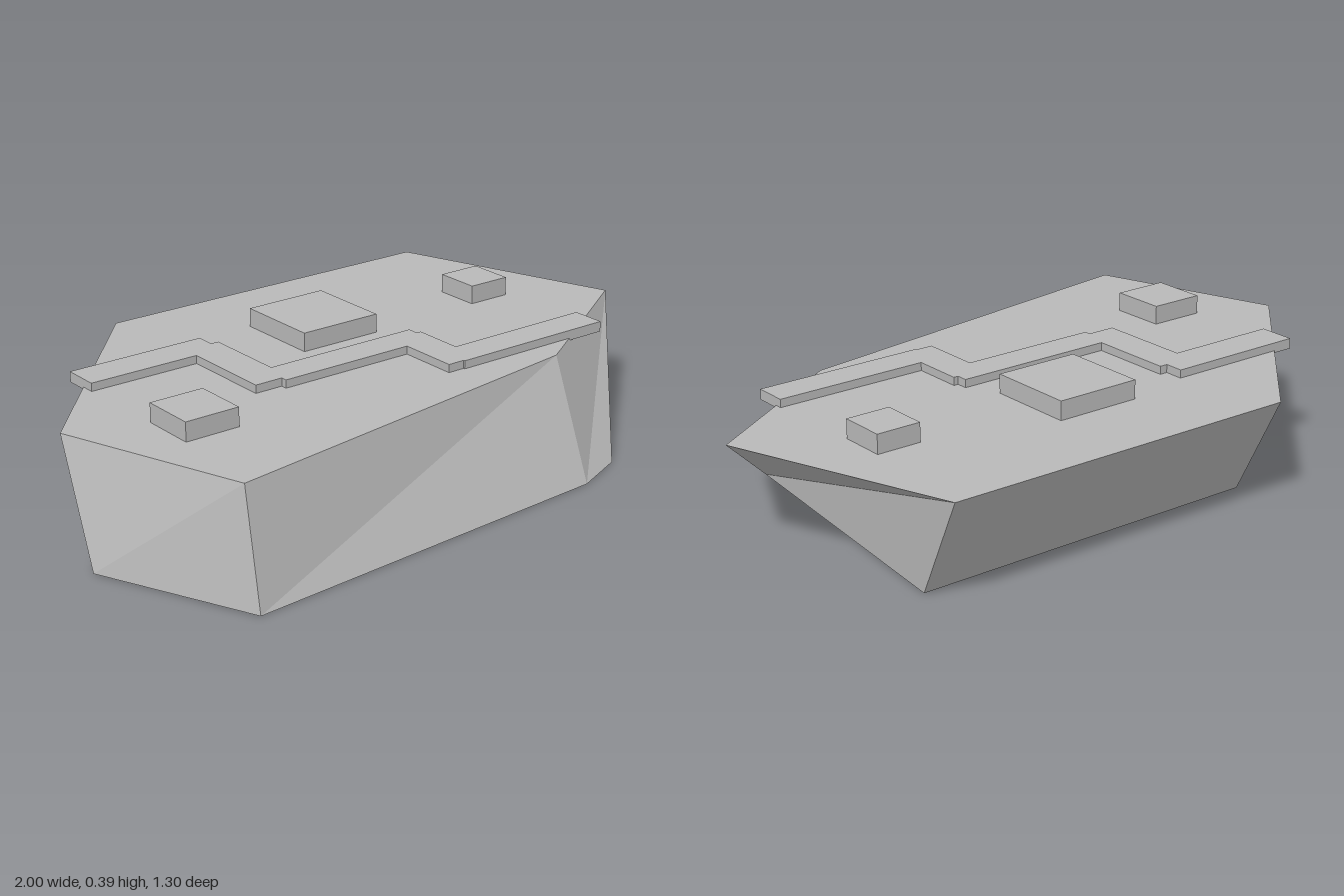
import * as THREE from 'three';

const TOP = 0.335;

// Rim corners [x, z], running counter-clockwise seen from above
const upperRim = [[-0.97, -0.01], [-0.77, 0.56], [0.48, 0.375], [1.0, 0.045], [0.75, -0.645], [-0.39, -0.65]];
// Foot corners; the right-hand corner is pulled far in under the overhang
const lowerRim = [[-1.0, 0.18], [-0.79, 0.65], [0.44, 0.565], [0.61, 0.495], [0.715, -0.455], [-0.42, -0.455]];

// Slanted slab: two caps joined by a band of triangles
function slabGeometry() {
  const n = upperRim.length;
  const up = i => [upperRim[i % n][0], TOP, upperRim[i % n][1]];
  const low = i => [lowerRim[i % n][0], 0, lowerRim[i % n][1]];
  const positions = [];
  const tri = (...corners) => corners.forEach(c => positions.push(...c));
  for (let i = 0; i < n; i++) {
    tri(low(i), low(i + 1), up(i + 1));
    tri(low(i), up(i + 1), up(i));
  }
  for (let i = 1; i < n - 1; i++) {
    tri(up(0), up(i), up(i + 1));
    tri(low(0), low(i + 1), low(i));
  }
  const geometry = new THREE.BufferGeometry();
  geometry.setAttribute('position', new THREE.Float32BufferAttribute(positions, 3));
  geometry.computeVertexNormals();
  return geometry;
}

// Stepped ridge: outline [x, z] extruded upwards
function ridgeGeometry() {
  const outline = [
    [-0.745, -0.33], [-0.30, -0.33], [-0.30, -0.27], [-0.275, -0.27], [-0.275, -0.005],
    [0.235, -0.005], [0.235, 0.03], [0.25, 0.03], [0.25, 0.19], [0.735, 0.19],
    [0.735, 0.295], [0.195, 0.295], [0.195, 0.29], [0.14, 0.29], [0.14, 0.10],
    [-0.30, 0.10], [-0.30, 0.08], [-0.39, 0.08], [-0.39, -0.215], [-0.745, -0.215],
  ];
  const shape = new THREE.Shape(outline.map(([x, z]) => new THREE.Vector2(x, -z)));
  const geometry = new THREE.ExtrudeGeometry(shape, { depth: 0.032, bevelEnabled: false });
  geometry.rotateX(-Math.PI / 2);
  geometry.translate(0, 0.328, 0);
  return geometry;
}

export function createModel() {
  const model = new THREE.Group();
  model.name = 'rockPlatform';
  const stone = new THREE.MeshStandardMaterial({ color: 0xb8b8b8, flatShading: true });
  stone.name = 'grey stone';

  const add = (name, geometry) => {
    const mesh = new THREE.Mesh(geometry, stone);
    mesh.name = name;
    model.add(mesh);
    return mesh;
  };

  add('slab', slabGeometry());
  add('steppedRidge', ridgeGeometry());

  // Raised blocks: name, centre x, centre z, width, depth
  const bottom = 0.33, height = 0.063;
  for (const [name, x, z, w, d] of [
    ['leftBlock', 0.65, -0.19, 0.14, 0.145],
    ['middleBlock', 0.05, -0.238, 0.27, 0.275],
    ['rightBlock', -0.652, 0.162, 0.173, 0.173],
  ]) {
    add(name, new THREE.BoxGeometry(w, height, d)).position.set(x, bottom + height / 2, z);
  }
  return model;
}
